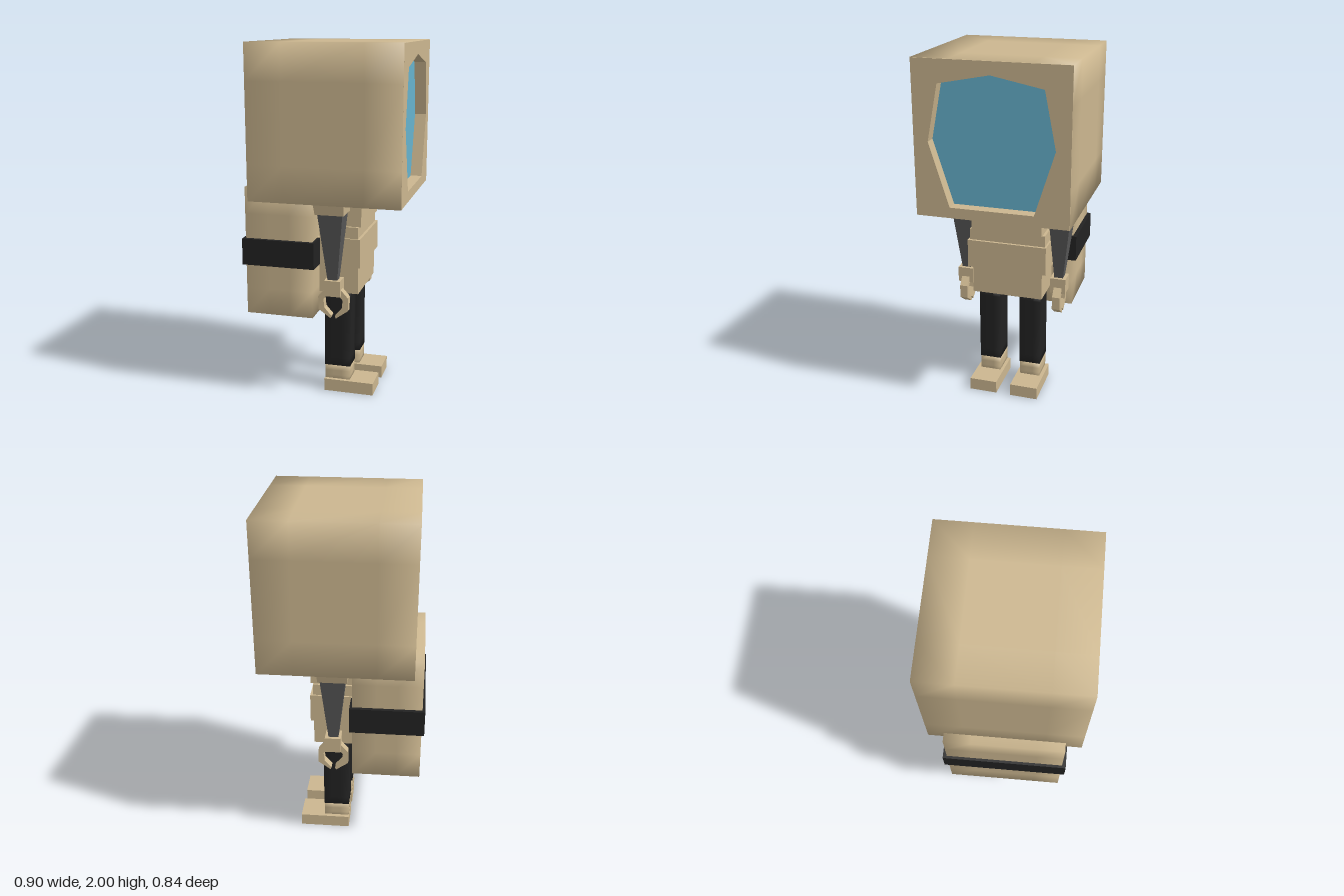
import * as THREE from 'three';
import { mergeVertices } from 'three/addons/utils/BufferGeometryUtils.js';

const mat = (name, color) => {
  const m = new THREE.MeshStandardMaterial({ color });
  m.name = name;
  return m;
};

// Box from min/max corners; soft > 0 blends the normals across its edges.
function boxGeometry([x0, x1], [y0, y1], [z0, z1], soft = 0) {
  const size = [x1 - x0, y1 - y0, z1 - z0];
  const n = soft ? 3 : 1;
  let g = new THREE.BoxGeometry(1, 1, 1, n, n, n);
  const p = g.attributes.position;
  for (let i = 0; i < p.count; i++) {
    for (let a = 0; a < 3; a++) {
      const t = p.getComponent(i, a);
      const half = size[a] / 2 - (Math.abs(t) < 0.3 ? Math.min(soft, size[a] * 0.35) : 0);
      p.setComponent(i, a, Math.sign(t) * half);
    }
  }
  if (soft) {
    g.deleteAttribute('uv');
    g.deleteAttribute('normal');
    g = mergeVertices(g);
    g.computeVertexNormals();
  }
  return g.translate((x0 + x1) / 2, (y0 + y1) / 2, (z0 + z1) / 2);
}

// Flat-sided block that tapers from a top rectangle to a bottom one.
function taperGeometry(top, bottom) {
  const g = new THREE.BoxGeometry(1, 1, 1).toNonIndexed();
  const p = g.attributes.position;
  for (let i = 0; i < p.count; i++) {
    const r = p.getY(i) > 0 ? top : bottom;
    p.setXYZ(i, p.getX(i) > 0 ? r.x[1] : r.x[0], r.y, p.getZ(i) > 0 ? r.z[1] : r.z[0]);
  }
  g.computeVertexNormals();
  return g;
}

const polygon = (pts) => pts.map(([x, y]) => new THREE.Vector2(x, y));

export function createModel() {
  const model = new THREE.Group();
  model.name = 'helmetedFigure';
  const tan = mat('tan', 0xcbb68f);
  const black = mat('black', 0x222222);
  const grey = mat('grey', 0x585858);
  const blue = mat('visorBlue', 0x66b2cd);

  const add = (name, geometry, material, parent = model) => {
    const m = new THREE.Mesh(geometry, material);
    m.name = name;
    parent.add(m);
    return m;
  };

  // Helmet: shell without its front face, a framed opening and the visor
  const helmet = new THREE.Group();
  helmet.name = 'helmet';
  model.add(helmet);
  const shell = boxGeometry([-0.39, 0.45], [1.16, 2], [-0.42, 0.42], 0.2);
  shell.setIndex(Array.from(shell.index.array).slice(54));
  shell.clearGroups();
  add('helmetShell', shell, tan, helmet);

  const opening = polygon([
    [0, 1.93], [0.28, 1.875], [0.34, 1.57], [0.23, 1.22],
    [-0.23, 1.22], [-0.34, 1.57], [-0.28, 1.875],
  ]);
  const e = 0.419;
  const rim = new THREE.Shape(polygon([[-e, 1.161], [e, 1.161], [e, 1.999], [-e, 1.999]]));
  rim.holes.push(new THREE.Path(opening));
  const frame = new THREE.ExtrudeGeometry(rim, { depth: 0.07, bevelEnabled: false });
  add('visorFrame', frame.rotateY(Math.PI / 2).translate(0.38, 0, 0), tan, helmet);
  const glass = new THREE.ShapeGeometry(new THREE.Shape(opening));
  add('visor', glass.rotateY(Math.PI / 2).translate(0.385, 0, 0), blue, helmet);

  // Backpack with its strap
  add('backpack', boxGeometry([-0.44, -0.055], [0.49, 1.22], [-0.33, 0.33], 0.15), tan);
  add('backpackStrap', boxGeometry([-0.455, -0.04], [0.78, 0.93], [-0.352, 0.352]), black);

  // Stacked torso bands
  add('hips', boxGeometry([-0.05, 0.175], [0.61, 0.77], [-0.205, 0.205]), tan);
  add('waist', boxGeometry([-0.055, 0.19], [0.77, 0.935], [-0.23, 0.23]), tan);
  add('ribs', boxGeometry([-0.045, 0.175], [0.935, 1], [-0.22, 0.22]), tan);
  add('chest', boxGeometry([-0.055, 0.19], [1, 1.17], [-0.205, 0.205]), tan);

  // Curved claw outline, mirrored for the opposite finger
  const claw = polygon([
    [0.045, 0.66], [0.085, 0.615], [0.085, 0.54], [0.015, 0.49],
    [0.01, 0.505], [0.05, 0.55], [0.055, 0.6], [0.03, 0.63],
  ]);

  for (const [side, s] of [['left', -1], ['right', 1]]) {
    const span = (a, b) => (s > 0 ? [a, b] : [-b, -a]);

    // Arm
    const arm = new THREE.Group();
    arm.name = side + 'Arm';
    model.add(arm);
    add('shoulder', taperGeometry(
      { y: 1.165, x: [-0.035, 0.135], z: span(0.2, 0.385) },
      { y: 1.095, x: [-0.03, 0.13], z: span(0.225, 0.365) }), tan, arm);
    add('upperArm', taperGeometry(
      { y: 1.095, x: [-0.02, 0.12], z: span(0.225, 0.35) },
      { y: 0.71, x: [0.025, 0.08], z: span(0.255, 0.305) }), grey, arm);
    add('hand', boxGeometry([0.01, 0.1], [0.625, 0.715], span(0.235, 0.325)), tan, arm);
    for (const d of [-1, 1]) {
      const outline = new THREE.Shape(claw.map((p) => new THREE.Vector2(p.x * d, p.y)));
      const g = new THREE.ExtrudeGeometry(outline, { depth: 0.045, bevelEnabled: false });
      add('finger', g.translate(0.055, 0, s * 0.28 - 0.0225), tan, arm);
    }

    // Leg
    const leg = new THREE.Group();
    leg.name = side + 'Leg';
    model.add(leg);
    add('trouserLeg', boxGeometry([-0.025, 0.125], [0.155, 0.615], span(0.06, 0.185), 0.05), black, leg);
    add('ankle', boxGeometry([-0.023, 0.123], [0.06, 0.155], span(0.062, 0.183), 0.05), tan, leg);
    add('foot', boxGeometry([-0.025, 0.265], [0, 0.072], span(0.043, 0.205)), tan, leg);
  }
  return model;
}
